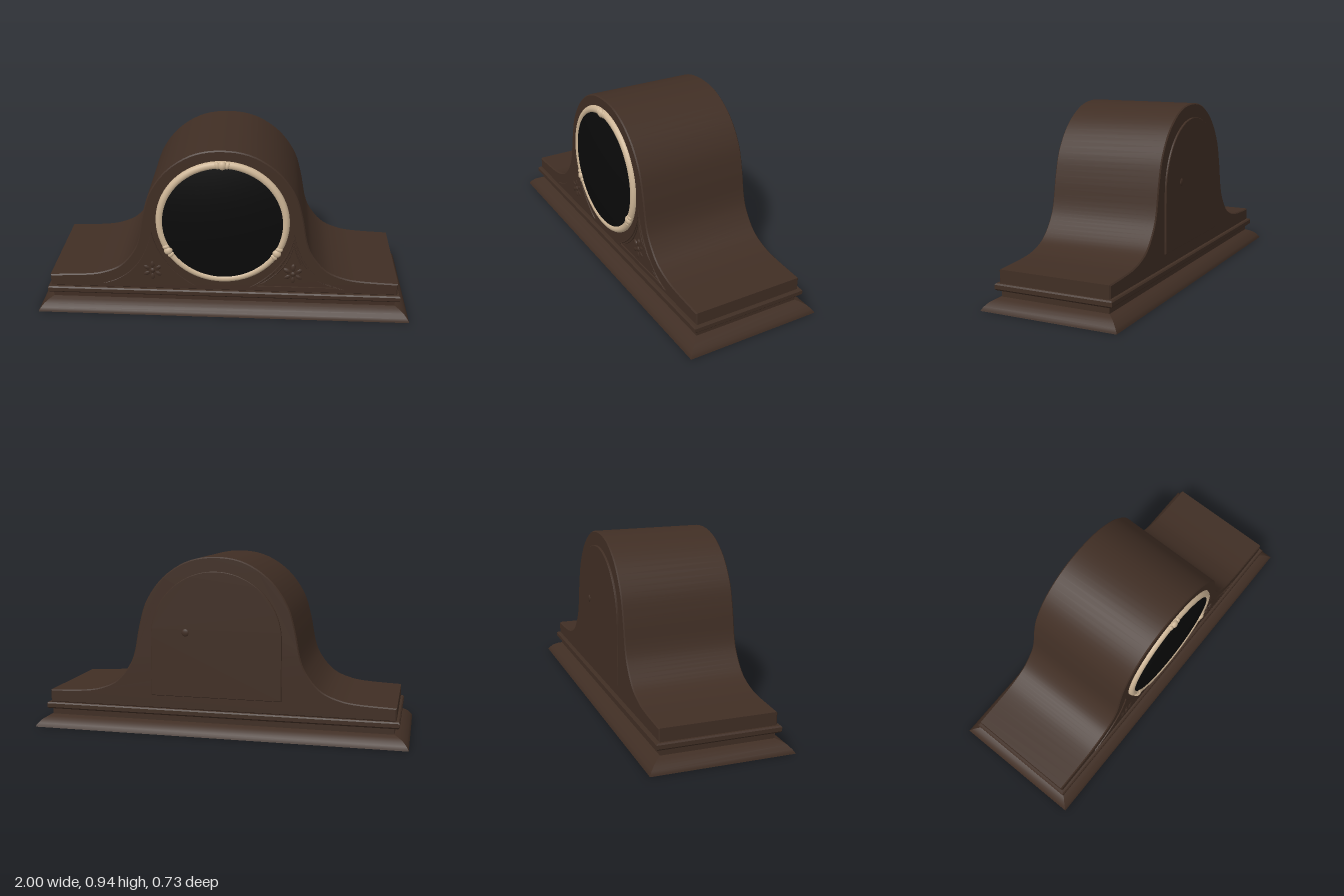
import * as THREE from 'three';
import { toCreasedNormals } from 'three/addons/utils/BufferGeometryUtils.js';

const wood = new THREE.MeshStandardMaterial({ color: 0x402e24 });
wood.name = 'dark wood';
const brass = new THREE.MeshStandardMaterial({ color: 0xcdb596 });
brass.name = 'pale brass';
const black = new THREE.MeshStandardMaterial({ color: 0x0a0a0a });
black.name = 'black glass';

const DIAL_Y = 0.537;

function add(parent, name, geometry, material, x = 0, y = 0, z = 0) {
  const mesh = new THREE.Mesh(geometry, material);
  mesh.name = name;
  mesh.position.set(x, y, z);
  parent.add(mesh);
  return mesh;
}

// Stacked rectangles [half depth, height]; the half width is always 0.635 more
function mouldingGeometry(profile) {
  const rings = profile.map(([d, y]) => {
    const w = d + 0.635;
    return [[w, y, d], [w, y, -d], [-w, y, -d], [-w, y, d]];
  });
  const pos = [];
  const quad = (a, b, c, d) => pos.push(...a, ...b, ...c, ...a, ...c, ...d);
  for (let i = 0; i < rings.length - 1; i++) {
    for (let k = 0; k < 4; k++) {
      const n = (k + 1) % 4;
      quad(rings[i][k], rings[i][n], rings[i + 1][n], rings[i + 1][k]);
    }
  }
  quad(...rings[rings.length - 1]);
  quad(...[...rings[0]].reverse());
  const g = new THREE.BufferGeometry();
  g.setAttribute('position', new THREE.Float32BufferAttribute(pos, 3));
  return toCreasedNormals(g, 0.5);
}

// Extrusion whose bevel stays inside the outline, spanning z0 to z1
function slab(shape, z0, z1, bevel, curveSegments = 24) {
  const g = new THREE.ExtrudeGeometry(shape, {
    depth: z1 - z0 - 2 * bevel, bevelEnabled: true, bevelSize: bevel,
    bevelThickness: bevel, bevelOffset: -bevel, bevelSegments: 1, curveSegments,
  });
  g.translate(0, 0, z0 + bevel);
  return toCreasedNormals(g, 0.5);
}

// Humped outline: a spline for one half, mirrored for the other
function bodyShape() {
  const half = [
    [0.935, 0.197], [0.74, 0.207], [0.64, 0.225], [0.55, 0.267], [0.48, 0.348], [0.445, 0.43],
    [0.417, 0.572], [0.375, 0.705], [0.283, 0.83], [0.15, 0.915], [0, 0.94],
  ].map(([x, y]) => new THREE.Vector2(x, y));
  const mirrored = half.slice(0, -1).reverse().map((p) => new THREE.Vector2(-p.x, p.y));
  const outline = new THREE.SplineCurve([...half, ...mirrored]).getPoints(90);
  return new THREE.Shape([
    new THREE.Vector2(-0.935, 0.128), new THREE.Vector2(0.935, 0.128), ...outline,
  ]);
}

// Curved triangle beside the dial, scaled about the flower centre
function spandrelPath(path, side, scale) {
  const p = (x, y) => [side * (0.375 + (x - 0.375) * scale), 0.245 + (y - 0.245) * scale];
  path.moveTo(...p(0.145, 0.155));
  path.lineTo(...p(0.65, 0.155));
  path.quadraticCurveTo(...p(0.43, 0.21), ...p(0.375, 0.48));
  path.quadraticCurveTo(...p(0.338, 0.2725), ...p(0.145, 0.155));
  return path;
}

function spandrel(side) {
  const group = new THREE.Group();
  group.name = side > 0 ? 'leftSpandrel' : 'rightSpandrel';
  for (const [outer, inner] of [[1, 0.88], [0.78, 0.71]]) {
    const shape = spandrelPath(new THREE.Shape(), side, outer);
    shape.holes.push(spandrelPath(new THREE.Path(), side, inner));
    add(group, 'carvedFrame', slab(shape, 0.295, 0.306, 0.002, 12), wood);
  }
  // Carved flower
  const petal = new THREE.SphereGeometry(1, 12, 8);
  for (let i = 0; i < 6; i++) {
    const a = Math.PI / 2 + (i * Math.PI) / 3;
    const m = add(group, 'petal', petal, wood,
      side * 0.375 + 0.036 * Math.cos(a), 0.245 + 0.036 * Math.sin(a), 0.3);
    m.scale.set(0.024, 0.014, 0.01);
    m.rotation.z = a;
  }
  add(group, 'flowerCentre', petal, wood, side * 0.375, 0.245, 0.3).scale.set(0.016, 0.016, 0.013);
  return group;
}

export function createModel() {
  const clock = new THREE.Group();
  clock.name = 'mantelClock';

  // Plinth, neck and band
  add(clock, 'baseMoulding', mouldingGeometry([
    [0.366, 0], [0.365, 0.006], [0.355, 0.02], [0.338, 0.038], [0.315, 0.052], [0.292, 0.061],
    [0.292, 0.095], [0.31, 0.095], [0.317, 0.103], [0.317, 0.123], [0.311, 0.13], [0.29, 0.13],
  ]), wood);

  add(clock, 'body', slab(bodyShape(), -0.3, 0.3, 0.006), wood);

  // Arched back door and its knob
  const door = new THREE.Shape();
  door.moveTo(-0.35, 0.2);
  door.lineTo(0.35, 0.2);
  door.lineTo(0.35, 0.515);
  door.absarc(0, 0.515, 0.35, 0, Math.PI, false);
  door.lineTo(-0.35, 0.2);
  add(clock, 'backDoor', slab(door, -0.31, -0.295, 0.003), wood);
  add(clock, 'doorKnob', new THREE.SphereGeometry(0.02, 16, 10), wood, 0.16, 0.543, -0.309)
    .scale.z = 0.35;

  // Domed dial
  const dome = [];
  for (let i = 0; i <= 10; i++) {
    const r = 0.325 * (1 - i / 10);
    dome.push(new THREE.Vector2(r, 0.04 - 0.027 * (r / 0.325) ** 2));
  }
  const dial = new THREE.LatheGeometry(dome, 64);
  dial.rotateX(Math.PI / 2);
  add(clock, 'dialGlass', dial, black, 0, DIAL_Y, 0.3);

  // Bezel with three small clasps
  const bezel = new THREE.Group();
  bezel.name = 'bezel';
  bezel.position.set(0, DIAL_Y, 0.3);
  clock.add(bezel);
  add(bezel, 'bezelRing', new THREE.TorusGeometry(0.328, 0.021, 14, 72), brass);
  const bead = new THREE.SphereGeometry(1, 14, 10);
  for (let i = 0; i < 3; i++) {
    const clasp = new THREE.Group();
    clasp.name = 'clasp';
    clasp.rotation.z = (i * Math.PI * 2) / 3;
    bezel.add(clasp);
    add(clasp, 'claspBead', bead, brass, 0, 0.329, 0.013).scale.set(0.022, 0.024, 0.017);
    for (const s of [-1, 1]) {
      const leaf = add(clasp, 'claspLeaf', bead, brass, s * 0.026, 0.328, 0.012);
      leaf.scale.set(0.014, 0.02, 0.013);
      leaf.rotation.z = -s * 0.3;
    }
  }

  for (const side of [-1, 1]) clock.add(spandrel(side));
  return clock;
}
